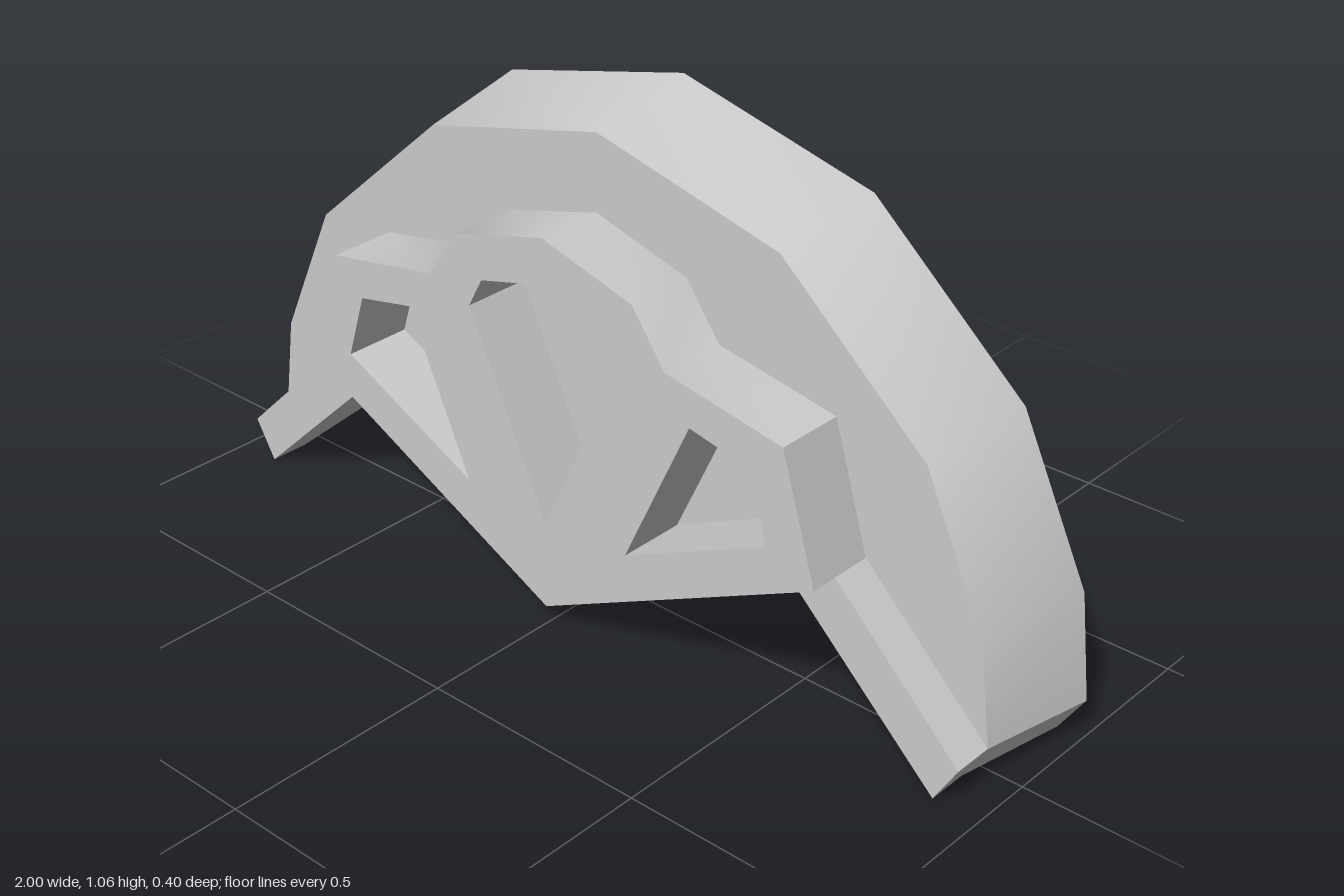
import * as THREE from 'three';
import { toCreasedNormals } from 'three/addons/utils/BufferGeometryUtils.js';

const BACK = -0.198, PLATE = 0.047, BAR = 0.137, FRONT = 0.198;

// Right half outline from bottom centre to top centre, mirrored to a closed loop
const mirrored = half => [
  ...half,
  ...half.filter(p => p[0] > 0).reverse().map(([x, y]) => [-x, y]),
];
const flip = pts => pts.map(([x, y]) => [-x, y]).reverse();
const points = pts => pts.map(([x, y]) => new THREE.Vector2(x, y));

function extrude(outline, z0, z1, holes = []) {
  const shape = new THREE.Shape(points(outline));
  holes.forEach(h => shape.holes.push(new THREE.Path(points(h))));
  const geo = new THREE.ExtrudeGeometry(shape, { depth: z1 - z0, bevelEnabled: false });
  return geo.translate(0, 0, z0);
}

export function createModel() {
  const group = new THREE.Group();
  const material = new THREE.MeshStandardMaterial({ color: 0xcccccc });
  const add = (name, geo, crease) => {
    const mesh = new THREE.Mesh(toCreasedNormals(geo, crease), material);
    mesh.name = name;
    group.add(mesh);
  };

  // Fan-shaped back plate, narrower at its front than at its back
  const backOutline = mirrored([[0, 0.04], [0.56, 0.32], [0.945, 0], [1, 0.085],
    [0.972, 0.31], [0.815, 0.635], [0.46, 0.945], [0, 1.057]]);
  const frontOutline = mirrored([[0, 0.04], [0.56, 0.32], [0.9, 0], [0.95, 0.085],
    [0.92, 0.3], [0.78, 0.605], [0.44, 0.903], [0, 1.01]]);
  const plate = extrude(backOutline, BACK, PLATE);
  const pos = plate.attributes.position;
  for (let i = 0; i < pos.count; i++) {
    if (pos.getZ(i) < 0) continue;
    const k = backOutline.findIndex(([x, y]) =>
      Math.hypot(x - pos.getX(i), y - pos.getY(i)) < 1e-4);
    pos.setXY(i, ...frontOutline[k]);
  }
  add('backPlate', plate, 0.5);

  // Raised bars running down to the two feet
  const bar = [[0.56, 0.32], [0.9, 0], [0.95, 0.085], [0.66, 0.365]];
  add('leftBar', extrude(bar, PLATE, BAR), 0.5);
  add('rightBar', extrude(flip(bar), PLATE, BAR), 0.5);

  // Raised centre panel with three recessed windows
  const panel = mirrored([[0, 0.04], [0.66, 0.365], [0.58, 0.627],
    [0.305, 0.675], [0.225, 0.785], [0, 0.847]]);
  const centreWindow = mirrored([[0, 0.235], [0.195, 0.643], [0.16, 0.708], [0, 0.75]]);
  const sideWindow = [[0.21, 0.248], [0.55, 0.412], [0.505, 0.555], [0.365, 0.584]];
  add('centrePanel',
    extrude(panel, PLATE, FRONT, [centreWindow, sideWindow, flip(sideWindow)]), 0.8);

  return group;
}
